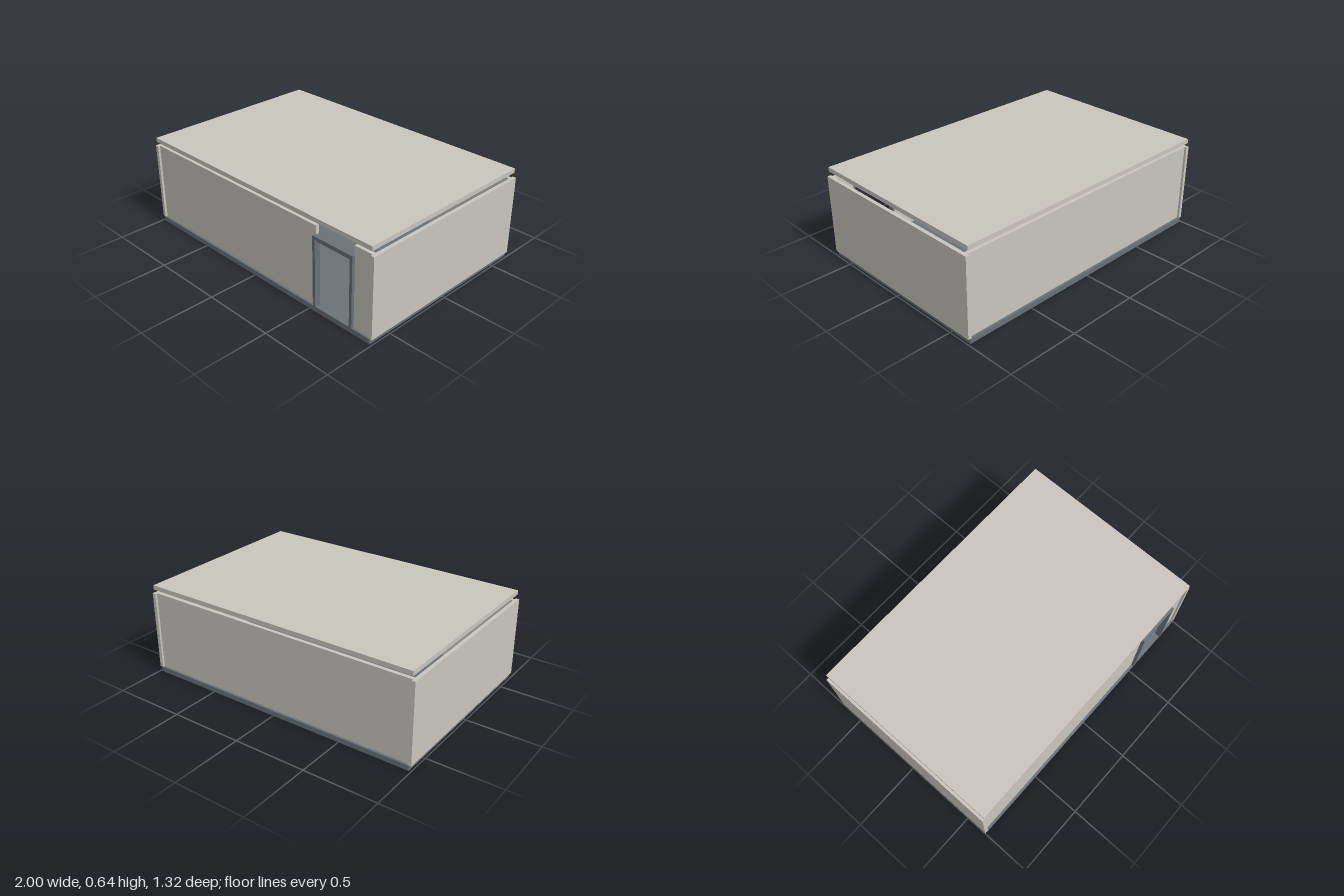
import * as THREE from 'three';

export function createModel() {
  const model = new THREE.Group();
  const panel = new THREE.MeshStandardMaterial({ color: 0xc9c5bd });
  panel.name = 'warm grey panel';
  const slate = new THREE.MeshStandardMaterial({ color: 0x697177 });
  slate.name = 'slate grey';

  // Box given by its limits along each axis
  function box(name, material, [x0, x1], [y0, y1], [z0, z1], parent = model) {
    const mesh = new THREE.Mesh(new THREE.BoxGeometry(x1 - x0, y1 - y0, z1 - z0), material);
    mesh.position.set((x0 + x1) / 2, (y0 + y1) / 2, (z0 + z1) / 2);
    mesh.name = name;
    parent.add(mesh);
  }

  const depth = [-0.66, 0.655];
  const wallY = [0.035, 0.58];

  // Base and the roof floating above the walls
  box('floorSlab', slate, [-0.985, 0.985], [0, 0.035], depth);
  box('roof', panel, [-0.985, 0.985], [0.61, 0.64], depth);

  // Walls: the front is split by a full-height door gap
  box('rightWall', panel, [-1, -0.975], wallY, depth);
  box('leftWall', panel, [0.975, 1], wallY, depth);
  box('backWall', panel, [-0.975, 0.975], wallY, [-0.645, -0.62]);
  box('frontWallLong', panel, [-0.975, 0.545], wallY, [0.615, 0.64]);
  box('frontWallShort', panel, [0.845, 0.975], wallY, [0.615, 0.64]);

  // Door frame with a stepped-back header
  const frame = new THREE.Group();
  frame.name = 'doorFrame';
  model.add(frame);
  const frameZ = [0.62, 0.66];
  box('doorPostRight', slate, [0.535, 0.555], [0.035, 0.52], frameZ, frame);
  box('doorPostLeft', slate, [0.828, 0.848], [0.035, 0.52], frameZ, frame);
  box('doorLintel', slate, [0.555, 0.828], [0.5, 0.52], frameZ, frame);
  box('doorHeader', slate, [0.555, 0.828], [0.48, 0.5], [0.62, 0.645], frame);

  return model;
}
